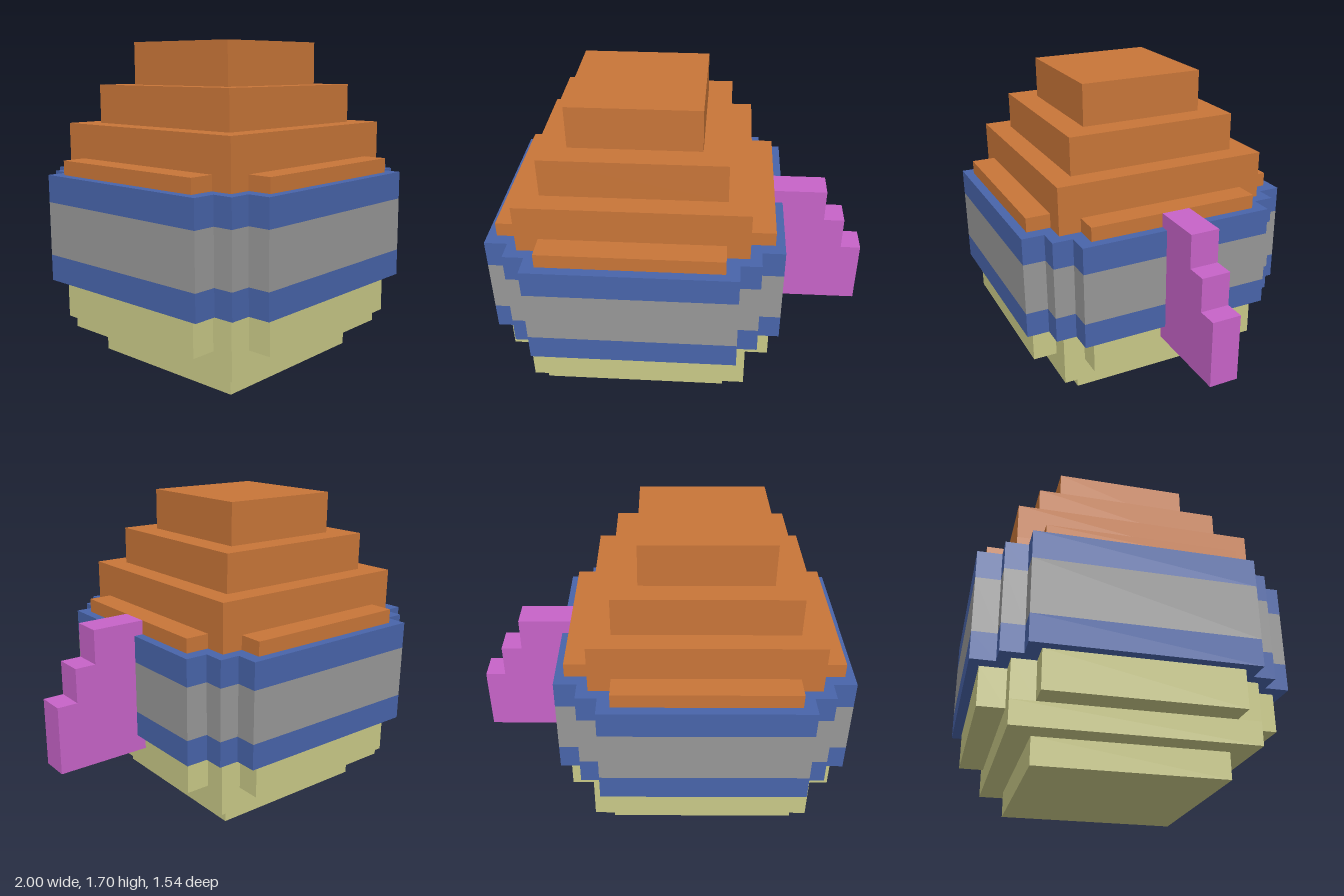
import * as THREE from 'three';

const CENTRE_X = -0.23;

const material = (name, color) => {
  const m = new THREE.MeshStandardMaterial({ color });
  m.name = name;
  return m;
};

// Stepped symmetric plan: corners are [halfX, halfZ] pairs, from the widest x to the widest z
function steppedPlan(corners) {
  const quarter = [];
  corners.forEach(([x, z], i) => {
    if (i > 0) quarter.push([x, corners[i - 1][1]]);
    quarter.push([x, z]);
  });
  const back = [...quarter].reverse();
  const outline = [
    ...quarter,
    ...back.map(([x, z]) => [-x, z]),
    ...quarter.map(([x, z]) => [-x, -z]),
    ...back.map(([x, z]) => [x, -z]),
  ];
  return new THREE.Shape(outline.map(([x, z]) => new THREE.Vector2(x, z)));
}

export function createModel() {
  const orange = material('orange', 0xc87538);
  const olive = material('pale olive', 0xc9c987);
  const blue = material('blue', 0x4864aa);
  const grey = material('grey', 0x979797);
  const violet = material('violet', 0xc763c8);

  const model = new THREE.Group();
  model.name = 'steppedEgg';

  const addLayer = (name, corners, y0, y1, mat) => {
    const geometry = new THREE.ExtrudeGeometry(steppedPlan(corners), { depth: y1 - y0, bevelEnabled: false });
    geometry.rotateX(-Math.PI / 2);
    const mesh = new THREE.Mesh(geometry, mat);
    mesh.name = name;
    mesh.position.set(CENTRE_X, y0, 0);
    model.add(mesh);
  };

  const square = (h) => [[h, h]];
  const shellPlan = [[0.72, 0.472], [0.59, 0.59], [0.472, 0.72]];
  const bandPlan = [[0.77, 0.54], [0.65, 0.65], [0.54, 0.77]];

  // Lower shell
  addLayer('base', square(0.472), 0, 0.135, olive);
  addLayer('lowerStep', square(0.59), 0.135, 0.255, olive);
  addLayer('lowerShell', shellPlan, 0.255, 0.45, olive);

  // Striped waist band
  addLayer('lowerBandStripe', bandPlan, 0.45, 0.588, blue);
  addLayer('middleBandStripe', bandPlan, 0.588, 0.87, grey);
  addLayer('upperBandStripe', bandPlan, 0.87, 1.014, blue);

  // Upper shell and stepped crown
  addLayer('upperShell', shellPlan, 1.014, 1.09, orange);
  addLayer('crownLower', square(0.59), 1.09, 1.272, orange);
  addLayer('crownMiddle', square(0.472), 1.272, 1.475, orange);
  addLayer('crownTop', square(0.34), 1.475, 1.698, orange);

  // Stepped side fin
  const finOutline = [
    [0.49, 0.36], [1, 0.36], [1, 0.725], [0.89, 0.725],
    [0.89, 0.908], [0.777, 0.908], [0.777, 1.09], [0.49, 1.09],
  ].map(([x, y]) => new THREE.Vector2(x, y));
  const finGeometry = new THREE.ExtrudeGeometry(new THREE.Shape(finOutline), { depth: 0.156, bevelEnabled: false });
  finGeometry.translate(0, 0, -0.078);
  const fin = new THREE.Mesh(finGeometry, violet);
  fin.name = 'sideFin';
  model.add(fin);

  return model;
}
